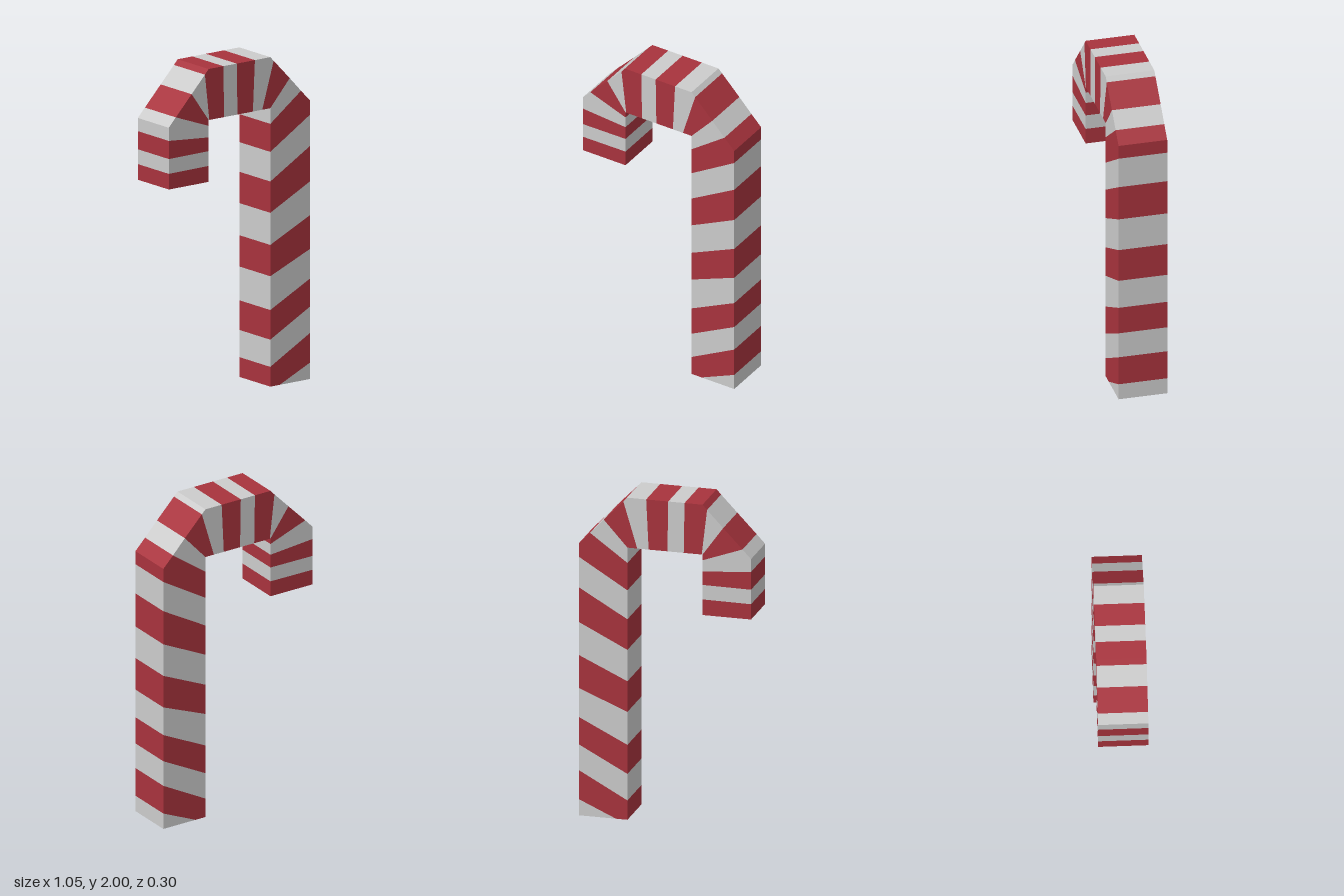
import * as THREE from 'three';

const W = 0.527, I = 0.23, H = 1.69, D = 0.148, TIP = 1.315;

// Stripes from the foot to the hook tip, alternately grey and red.
// Each run lists points on the outer and inner edge; the next run's first point closes it.
const outerRuns = [
  [[W, 0]], [[W, 0.1]], [[W, 0.28]], [[W, 0.44]], [[W, 0.61]], [[W, 0.79]],
  [[W, 0.995]], [[W, 1.2]], [[W, 1.415]],
  [[W, 1.605], [W, H]], [[0.459, 1.76]], [[0.375, 1.85]],
  [[0.255, 1.974], [I, 2]], [[0.115, 2]], [[-0.02, 2]],
  [[-0.12, 2], [-I, 2]], [[-0.258, 1.97]], [[-0.357, 1.867]],
  [[-0.475, 1.745], [-W, H]], [[-W, 1.61]], [[-W, 1.5]],
  [[-W, 1.41], [-W, TIP]], [[-I, TIP]],
];
const innerRuns = [
  [[W, 0]], [[0.3, 0], [I, 0]], [[I, 0.12]], [[I, 0.285]], [[I, 0.465]], [[I, 0.67]],
  [[I, 0.86]], [[I, 1.055]], [[I, 1.245]],
  [[I, 1.425]], [[I, 1.595]], [[I, H]],
  [[0.17, H]], [[0.1, H]], [[-0.015, H]],
  [[-0.115, H]], [[-0.225, H]], [[-I, H]],
  [[-I, 1.655]], [[-I, 1.585]], [[-I, 1.502]],
  [[-I, 1.412]], [[-I, TIP]],
];

// Front, back and outside walls of one stripe, left open where it meets its neighbours
function stripeGeometry(outer, inner) {
  const same = (a, b) => a[0] === b[0] && a[1] === b[1];
  const loop = [...outer, ...inner.slice().reverse()]
    .filter((p, i, all) => !same(p, all[(i + 1) % all.length]));
  const contour = loop.map(([x, y]) => new THREE.Vector2(x, y));
  const pos = [];
  const put = ([x, y], z) => pos.push(x, y, z);

  for (const [a, b, c] of THREE.ShapeUtils.triangulateShape(contour, [])) {
    [a, b, c].forEach((k) => put(loop[k], D));
    [c, b, a].forEach((k) => put(loop[k], -D));
  }
  const wall = (p, q) => {
    put(p, D); put(p, -D); put(q, -D);
    put(p, D); put(q, -D); put(q, D);
  };
  for (let i = 1; i < outer.length; i++) wall(outer[i - 1], outer[i]);
  for (let i = 1; i < inner.length; i++) wall(inner[i], inner[i - 1]);

  const geo = new THREE.BufferGeometry();
  geo.setAttribute('position', new THREE.Float32BufferAttribute(pos, 3));
  geo.computeVertexNormals();
  return geo;
}

export function createModel() {
  const cane = new THREE.Group();
  cane.name = 'candyCane';
  const grey = new THREE.MeshStandardMaterial({ color: 0xcccccc, flatShading: true });
  const red = new THREE.MeshStandardMaterial({ color: 0xa8333d, flatShading: true });

  for (let i = 0; i < outerRuns.length - 1; i++) {
    const outer = [...outerRuns[i], outerRuns[i + 1][0]];
    const inner = [...innerRuns[i], innerRuns[i + 1][0]];
    const isRed = i % 2 === 1;
    const stripe = new THREE.Mesh(stripeGeometry(outer, inner), isRed ? red : grey);
    stripe.name = (isRed ? 'redStripe' : 'greyStripe') + (Math.floor(i / 2) + 1);
    cane.add(stripe);
  }
  return cane;
}
